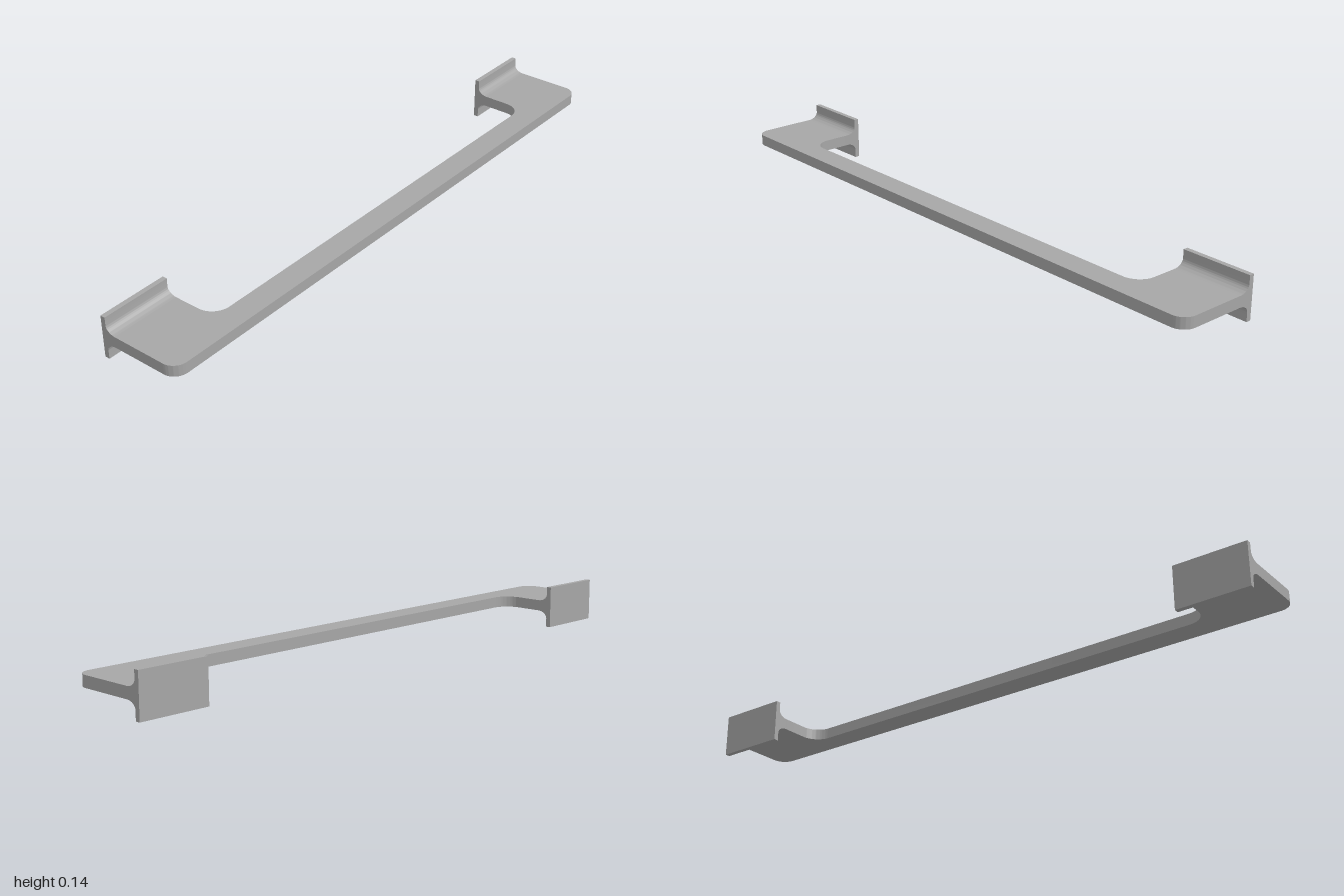
import * as THREE from 'three';
import { toCreasedNormals } from 'three/addons/utils/BufferGeometryUtils.js';

const PI = Math.PI;
const FRONT = 0.138, BACK = -0.138;      // depth limits
const LOW = 0.053, HIGH = 0.089;         // underside and top of the bar
const HEIGHT = 0.139;                    // height of the mounting plates
const INNER = 0.767;                     // inner side of each leg
const PLATE = -0.122, ROOT = -0.088;     // plate face, start of the fillet
const FILLET = 0.024;                    // fillet rise

function extrude(shape, depth) {
  const g = new THREE.ExtrudeGeometry(shape, { depth, bevelEnabled: false, curveSegments: 16 });
  return toCreasedNormals(g, PI / 6);
}

// U-shaped outline seen from above (shape y = -z)
function gripShape() {
  const r = 0.045, q = 0.06, f = -FRONT, b = -0.057;
  const s = new THREE.Shape();
  s.moveTo(-1 + r, f);
  s.lineTo(1 - r, f);
  s.absarc(1 - r, f + r, r, -PI / 2, 0, false);
  s.lineTo(1, -ROOT);
  s.lineTo(INNER, -ROOT);
  s.lineTo(INNER, b + q);
  s.absarc(INNER - q, b + q, q, 0, -PI / 2, true);
  s.lineTo(-INNER + q, b);
  s.absarc(-INNER + q, b + q, q, -PI / 2, -PI, true);
  s.lineTo(-INNER, -ROOT);
  s.lineTo(-1, -ROOT);
  s.lineTo(-1, f + r);
  s.absarc(-1 + r, f + r, r, PI, 1.5 * PI, false);
  return s;
}

// Side profile of a mounting plate flaring into the leg (shape x = z)
function footShape() {
  const rx = ROOT - PLATE;
  const s = new THREE.Shape();
  s.moveTo(BACK, 0);
  s.lineTo(PLATE, 0);
  s.lineTo(PLATE, LOW - FILLET);
  s.absellipse(ROOT, LOW - FILLET, rx, FILLET, PI, PI / 2, true);
  s.lineTo(ROOT, HIGH);
  s.absellipse(ROOT, HIGH + FILLET, rx, FILLET, 1.5 * PI, PI, true);
  s.lineTo(PLATE, HEIGHT);
  s.lineTo(BACK, HEIGHT);
  return s;
}

export function createModel() {
  const group = new THREE.Group();
  group.name = 'drawerHandle';
  const metal = new THREE.MeshStandardMaterial({ color: 0xa6a6a6 });
  metal.name = 'grey metal';

  // Grip bar with its two legs
  const grip = new THREE.Mesh(extrude(gripShape(), HIGH - LOW).rotateX(-PI / 2), metal);
  grip.name = 'gripBar';
  grip.position.y = LOW;
  group.add(grip);

  // Mounting plates at both ends
  const width = 1 - INNER;
  const footGeometry = extrude(footShape(), width).rotateY(-PI / 2).translate(width / 2, 0, 0);
  for (const side of [1, -1]) {
    const foot = new THREE.Mesh(footGeometry, metal);
    foot.name = side > 0 ? 'leftMountingPlate' : 'rightMountingPlate';
    foot.position.x = side * (1 - width / 2);
    group.add(foot);
  }
  return group;
}
